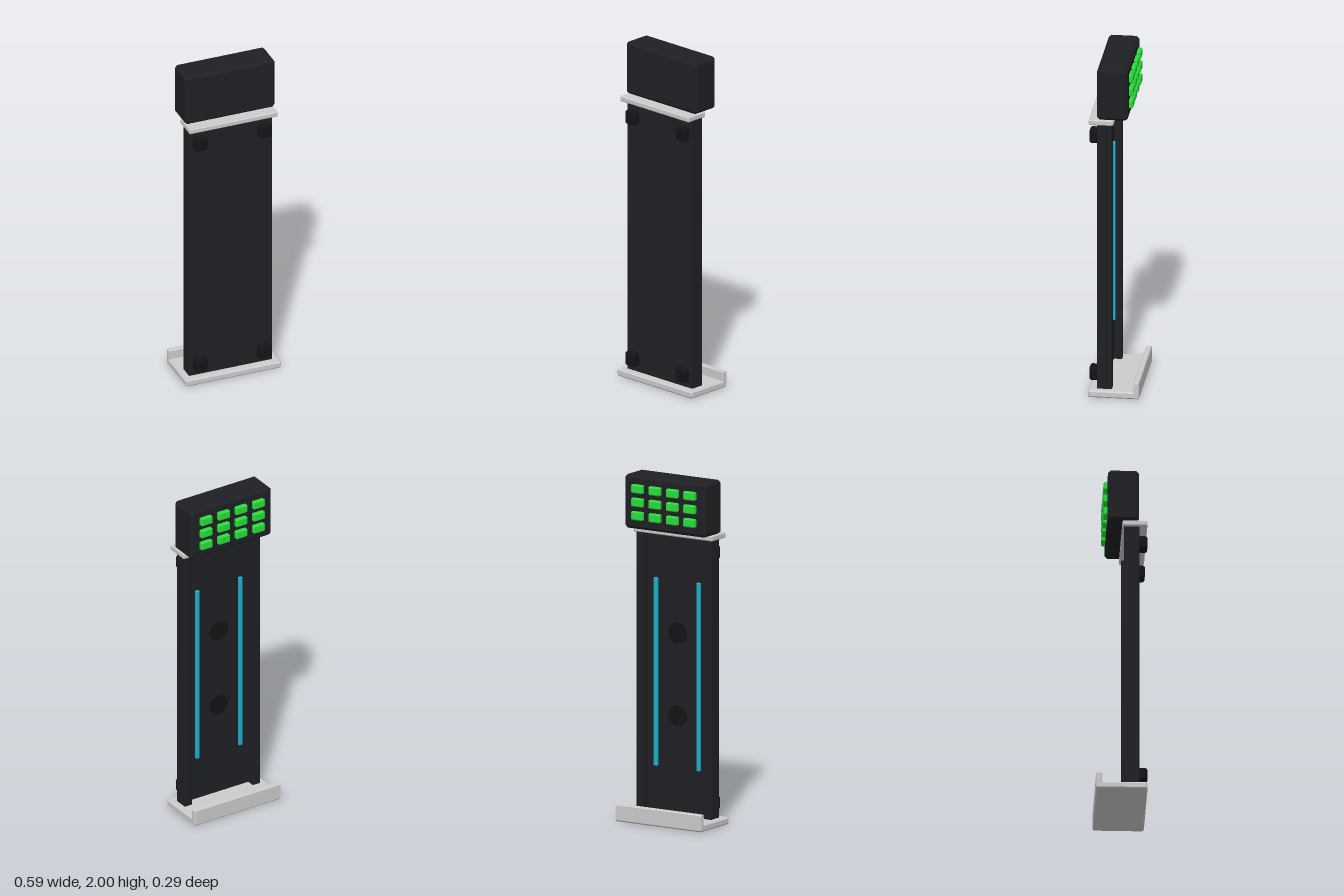
import * as THREE from 'three';
import { ConvexGeometry } from 'three/addons/geometries/ConvexGeometry.js';

const mat = (color) => new THREE.MeshStandardMaterial({ color });
const shell = mat(0x1f2024);
const rubber = mat(0x131417);
const clear = mat(0xcccccc);
const green = mat(0x2ade3c);
const cyan = mat(0x1ab0cc);

// Box given by its limits, with every edge chamfered by b
function chamferBox(name, material, [x0, x1], [y0, y1], [z0, z1], b) {
  const h = [(x1 - x0) / 2, (y1 - y0) / 2, (z1 - z0) / 2];
  const points = [];
  for (const sx of [-1, 1]) for (const sy of [-1, 1]) for (const sz of [-1, 1]) {
    for (let axis = 0; axis < 3; axis++) {
      const [x, y, z] = h.map((v, i) => (i === axis ? v : v - b));
      points.push(new THREE.Vector3(sx * x, sy * y, sz * z));
    }
  }
  const mesh = new THREE.Mesh(new ConvexGeometry(points), material);
  mesh.position.set((x0 + x1) / 2, (y0 + y1) / 2, (z0 + z1) / 2);
  mesh.name = name;
  return mesh;
}

const around = (c, size) => [c - size / 2, c + size / 2];

export function createModel() {
  const model = new THREE.Group();
  model.name = 'panelStand';
  const add = (...args) => model.add(chamferBox(...args));

  // Tray with a raised lip at the back
  add('baseTray', clear, [-0.293, 0.293], [0, 0.042], [-0.147, 0.145], 0.008);
  add('trayLip', clear, [-0.293, 0.293], [0.005, 0.1], [-0.147, -0.114], 0.006);

  // Tall panel, recessed between two side rails at the back
  add('panel', shell, [-0.25, 0.25], [0.02, 1.67], [0.06, 0.099], 0.002);
  for (const s of [-1, 1]) {
    add('sideRail', shell, around(s * 0.23, 0.05), [0.02, 1.67], [0.013, 0.099], 0.004);
    add('lightStrip', cyan, around(s * 0.145, 0.025), [0.305, 1.395], [0.043, 0.062], 0.004);
    // Front pads
    for (const y of [0.12, 1.57]) {
      add('frontPad', rubber, around(s * 0.196, 0.076), around(y, 0.08), [0.095, 0.146], 0.01);
    }
  }

  // Round plugs in the recess
  for (const y of [0.61, 1.09]) {
    const plug = new THREE.Mesh(new THREE.CylinderGeometry(0.06, 0.06, 0.016, 32), rubber);
    plug.rotation.x = Math.PI / 2;
    plug.position.set(0, y, 0.057);
    plug.name = 'recessPlug';
    model.add(plug);
  }

  // Collar plate under the head
  add('collarPlate', clear, [-0.27, 0.27], [1.655, 1.688], [0.003, 0.145], 0.006);

  // Head with a grid of buttons on its back
  add('head', shell, [-0.275, 0.275], [1.69, 2], [-0.079, 0.096], 0.015);
  for (let row = 0; row < 3; row++) {
    for (let col = 0; col < 4; col++) {
      const x = (col - 1.5) * 0.118;
      const y = 1.77 + row * 0.078;
      add('button', green, around(x, 0.078), around(y, 0.05), [-0.102, -0.07], 0.006);
    }
  }
  return model;
}
